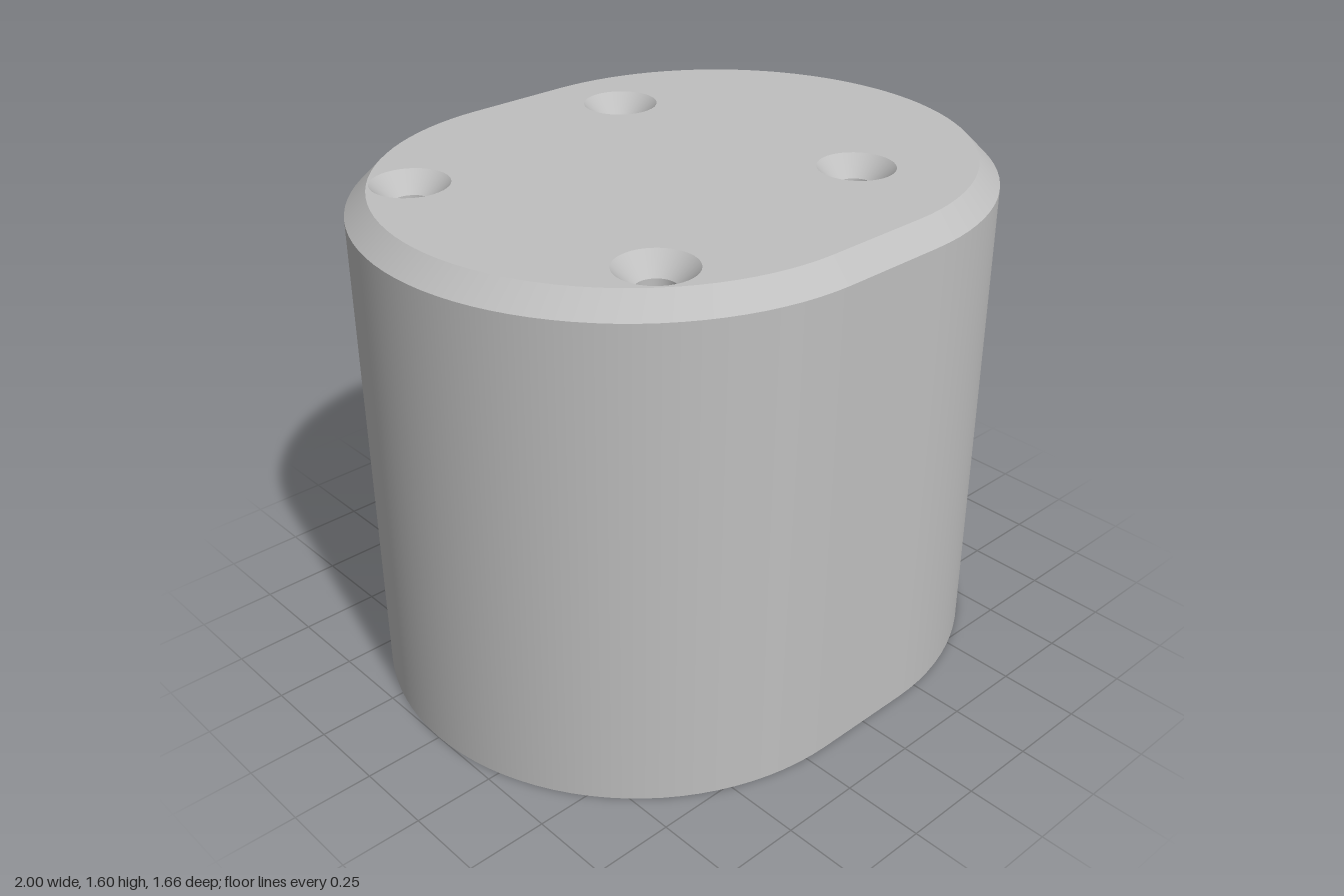
import * as THREE from 'three';

const HALF = 0.17;            // half the straight run of the oval outline
const OUTER = 0.83, INNER = 0.77, TOP_R = 0.765;
const HEIGHT = 1.6, CHAMFER_Y = 1.535, CEILING_Y = 1.47;
const SINK_R = 0.117, BORE_R = 0.058, SINK_Y = 1.54;
const HOLES = [[0.22, -0.515], [-0.68, -0.39], [0.345, 0.385], [-0.555, 0.51]];

// Closed outline: two half circles pulled apart by 2 * half (a circle when half is 0)
function outline(r, half, n, cx = 0, cz = 0) {
  const pts = [];
  for (const side of [1, -1]) {
    const last = half ? n : n - 1;
    for (let i = 0; i <= last; i++) {
      const a = Math.PI * (i / n - 0.5) + (side < 0 ? Math.PI : 0);
      pts.push(new THREE.Vector2(cx + side * half + r * Math.cos(a), cz + r * Math.sin(a)));
    }
  }
  return pts;
}

// One band between two outlines; smooth around, sharp at both edges
function band([r0, y0], [r1, y1], half, n, cx, cz) {
  const a = outline(r0, half, n, cx, cz), b = outline(r1, half, n, cx, cz);
  const count = a.length, pos = [], index = [];
  a.forEach(p => pos.push(p.x, y0, p.y));
  b.forEach(p => pos.push(p.x, y1, p.y));
  for (let i = 0; i < count; i++) {
    const j = (i + 1) % count;
    index.push(i, count + i, j, j, count + i, count + j);
  }
  const g = new THREE.BufferGeometry();
  g.setAttribute('position', new THREE.Float32BufferAttribute(pos, 3));
  g.setIndex(index);
  g.computeVertexNormals();
  return g;
}

// Flat oval plate pierced by the four holes, facing up (1) or down (-1)
function plate(r, holeR, y, facing) {
  const shape = new THREE.Shape(outline(r, HALF, 48));
  for (const [x, z] of HOLES) {
    shape.holes.push(new THREE.Path(outline(holeR, 0, 20, x, -facing * z)));
  }
  return new THREE.ShapeGeometry(shape).rotateX(-facing * Math.PI / 2).translate(0, y, 0);
}

export function createModel() {
  const group = new THREE.Group();
  const grey = new THREE.MeshStandardMaterial({ color: 0xbfbfbf });
  grey.name = 'grey';
  const add = (name, geometry) => {
    const mesh = new THREE.Mesh(geometry, grey);
    mesh.name = name;
    group.add(mesh);
  };

  // Hollow oval body
  add('outerWall', band([OUTER, 0], [OUTER, CHAMFER_Y], HALF, 48));
  add('chamfer', band([OUTER, CHAMFER_Y], [TOP_R, HEIGHT], HALF, 48));
  add('innerWall', band([INNER, CEILING_Y], [INNER, 0], HALF, 48));
  add('bottomRim', band([INNER, 0], [OUTER, 0], HALF, 48));

  // Closed top
  add('topFace', plate(TOP_R, SINK_R, HEIGHT, 1));
  add('ceiling', plate(INNER, BORE_R, CEILING_Y, -1));

  // Countersunk screw holes
  for (const [x, z] of HOLES) {
    add('countersink', band([SINK_R, HEIGHT], [BORE_R, SINK_Y], 0, 20, x, z));
    add('bore', band([BORE_R, SINK_Y], [BORE_R, CEILING_Y], 0, 20, x, z));
  }
  return group;
}
